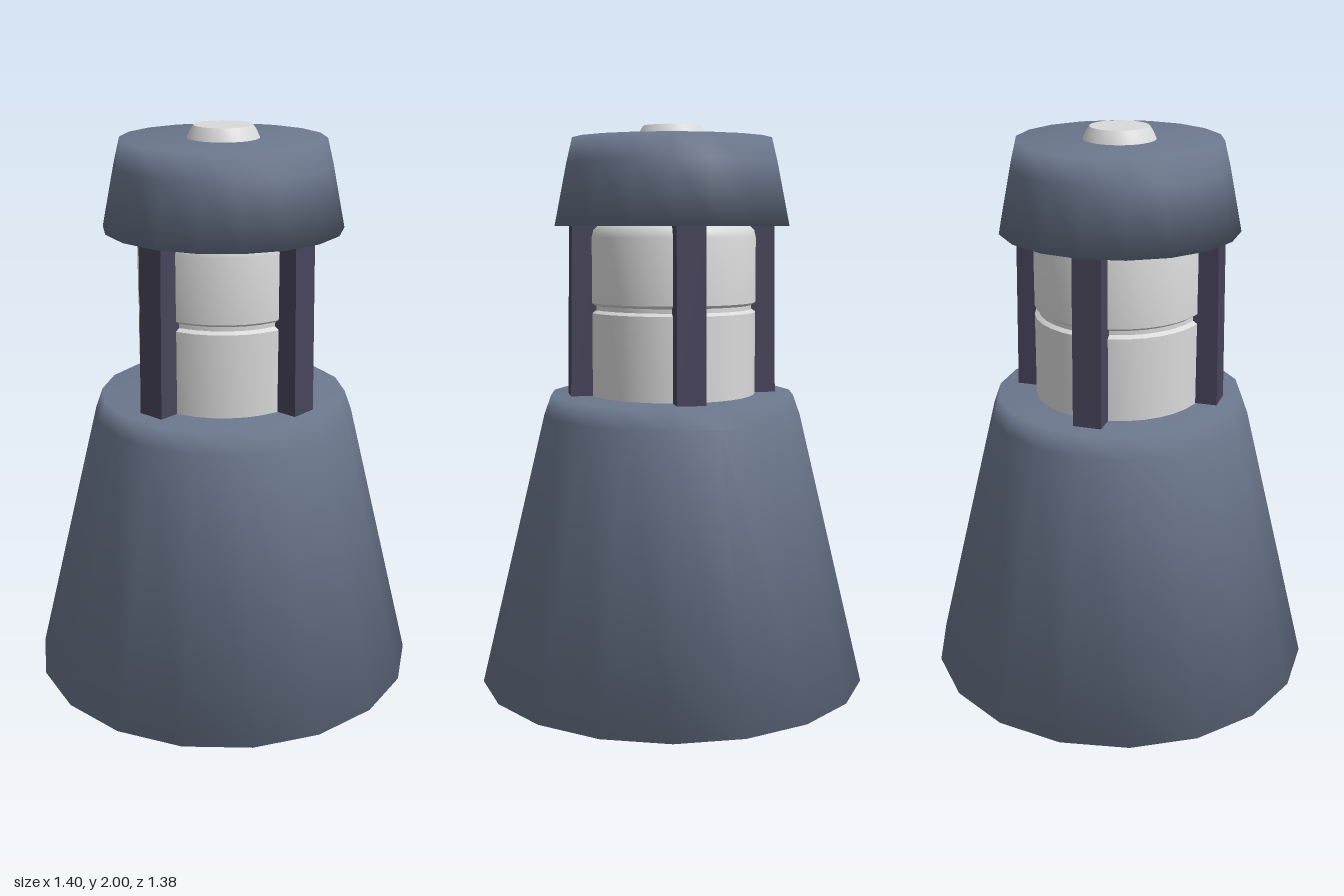
import * as THREE from 'three';
import { toCreasedNormals } from 'three/addons/utils/BufferGeometryUtils.js';

export function createModel() {
  const group = new THREE.Group();
  group.name = 'lanternTower';

  const material = (name, color) => {
    const m = new THREE.MeshStandardMaterial({ color });
    m.name = name;
    return m;
  };
  const slate = material('slateBlue', 0x6c788e);
  const pale = material('paleGrey', 0xd9d9d9);
  const dark = material('darkPurple', 0x47445b);

  const add = (name, geometry, mat) => {
    const mesh = new THREE.Mesh(geometry, mat);
    mesh.name = name;
    group.add(mesh);
    return mesh;
  };

  // Turned solid from [radius, height] pairs, bottom to top, with a corner on the x axis
  const turned = (profile, sides) =>
    new THREE.LatheGeometry(profile.map(([r, y]) => new THREE.Vector2(r, y)), sides, Math.PI / 2);

  // Tapered base, shaded softly over its edges
  add('base', turned([[0, 0], [0.7, 0], [0.465, 0.98], [0.44, 1.05], [0, 1.05]], 18), slate);

  // Lantern drum with a groove round the middle and a rounded top edge
  add('drum', toCreasedNormals(turned([
    [0, 1.04], [0.3, 1.04], [0.3, 1.345], [0.285, 1.355], [0.285, 1.37], [0.3, 1.38],
    [0.3, 1.61], [0.294, 1.635], [0.28, 1.65], [0, 1.65],
  ], 32), 0.6), pale);

  // Four posts, leaning slightly inwards
  for (let i = 0; i < 4; i++) {
    const geometry = new THREE.BoxGeometry(0.1, 0.61, 0.1);
    geometry.translate(0, 1.345, 0.323);
    const p = geometry.attributes.position;
    for (let v = 0; v < p.count; v++) {
      if (p.getY(v) > 1.3) p.setZ(v, p.getZ(v) - 0.009);
    }
    geometry.computeVertexNormals();
    add('post' + (i + 1), geometry, dark).rotation.y = i * Math.PI / 2;
  }

  // Roof cap
  add('roof', turned([[0, 1.65], [0.42, 1.65], [0.376, 1.87], [0.355, 1.957], [0, 1.957]], 18), slate);

  // Small finial on the roof
  add('finial', toCreasedNormals(turned([
    [0, 1.95], [0.128, 1.95], [0.115, 1.98], [0.102, 2], [0, 2],
  ], 32), 0.6), pale);

  return group;
}
